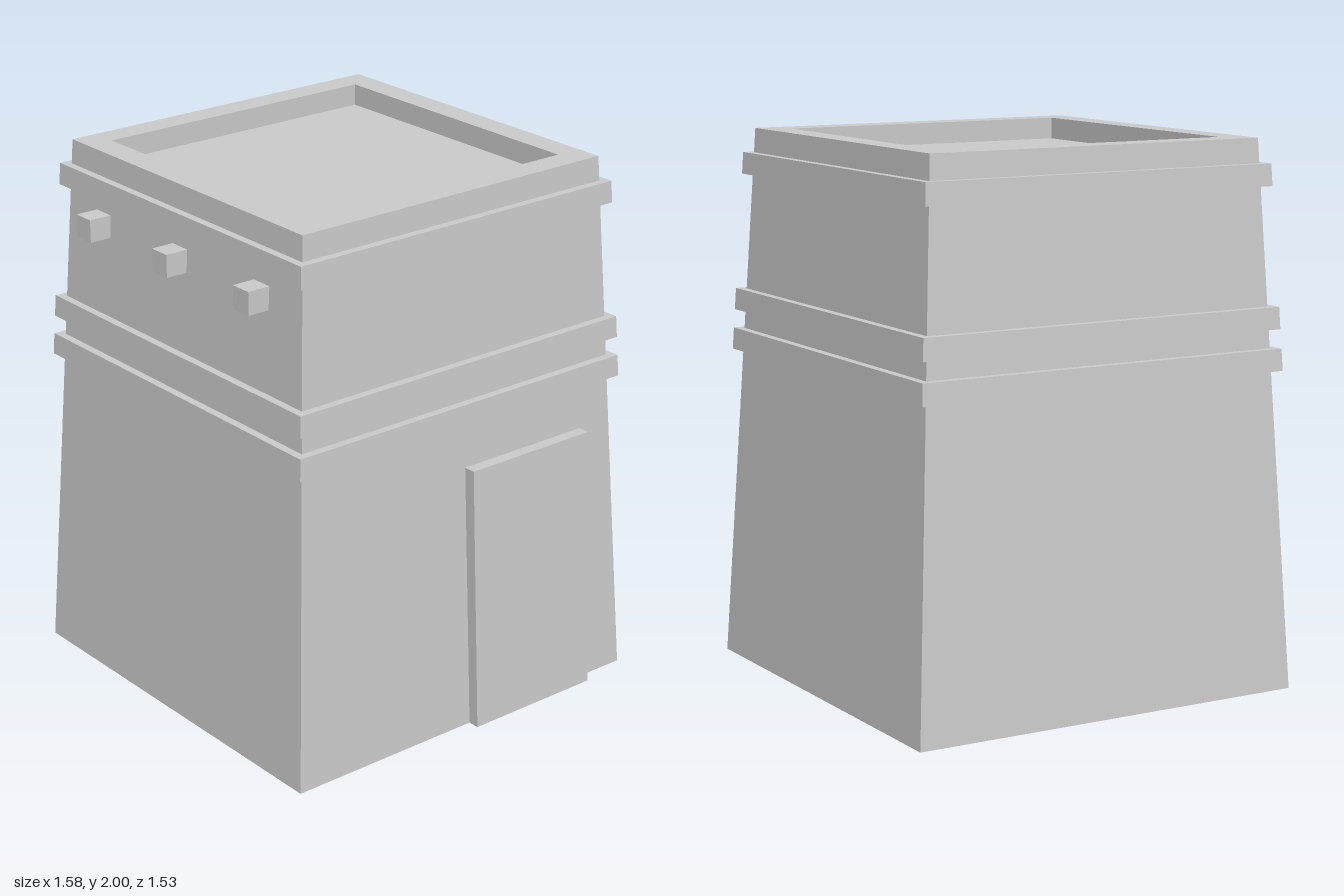
import * as THREE from 'three';

const CENTRE_X = -0.025;
const material = new THREE.MeshStandardMaterial({ color: 0xcccccc, flatShading: true, side: THREE.DoubleSide });

// half width of the tapering wall at height y
const wallHalf = (y) => 0.767 - 0.052 * y;

function addMesh(group, name, geometry, x = 0, y = 0, z = 0) {
  const mesh = new THREE.Mesh(geometry, material);
  mesh.name = name;
  mesh.position.set(x, y, z);
  group.add(mesh);
  return mesh;
}

// square solid from a profile of [half width, height] points
function squareLathe(profile) {
  const points = profile.map(([half, y]) => new THREE.Vector2(half * Math.SQRT2, y));
  const geometry = new THREE.LatheGeometry(points, 4, Math.PI / 4).toNonIndexed();
  geometry.computeVertexNormals();
  return geometry;
}

export function createModel() {
  const group = new THREE.Group();
  group.name = 'tower';

  // tapering walls, open below, with parapet and sunken roof
  addMesh(group, 'wallsAndRoof', squareLathe([
    [wallHalf(0), 0], [wallHalf(2), 2], [0.563, 2], [0.563, 1.92], [0, 1.92],
  ]), CENTRE_X);

  // projecting bands that follow the slope of the walls
  for (const [bottom, top] of [[1.17, 1.25], [1.32, 1.4], [1.83, 1.91]]) {
    addMesh(group, 'band', squareLathe([
      [wallHalf(bottom), bottom],
      [wallHalf(bottom) + 0.03, bottom],
      [wallHalf(top) + 0.03, top],
      [wallHalf(top), top],
    ]), CENTRE_X);
  }

  // row of beam ends on the front
  for (const x of [-0.488, -0.028, 0.432]) {
    addMesh(group, 'beamEnd', new THREE.BoxGeometry(0.084, 0.084, 0.088), x, 1.738, 0.718);
  }

  // leaning door slab on the right-hand side of the plan
  const doorProfile = new THREE.Shape([
    new THREE.Vector2(CENTRE_X + wallHalf(0), 0),
    new THREE.Vector2(0.785, 0),
    new THREE.Vector2(0.735, 1),
    new THREE.Vector2(CENTRE_X + wallHalf(1), 1),
  ]);
  addMesh(group, 'door', new THREE.ExtrudeGeometry(doorProfile, { depth: 0.553, bevelEnabled: false }), 0, 0, -0.57);

  return group;
}
